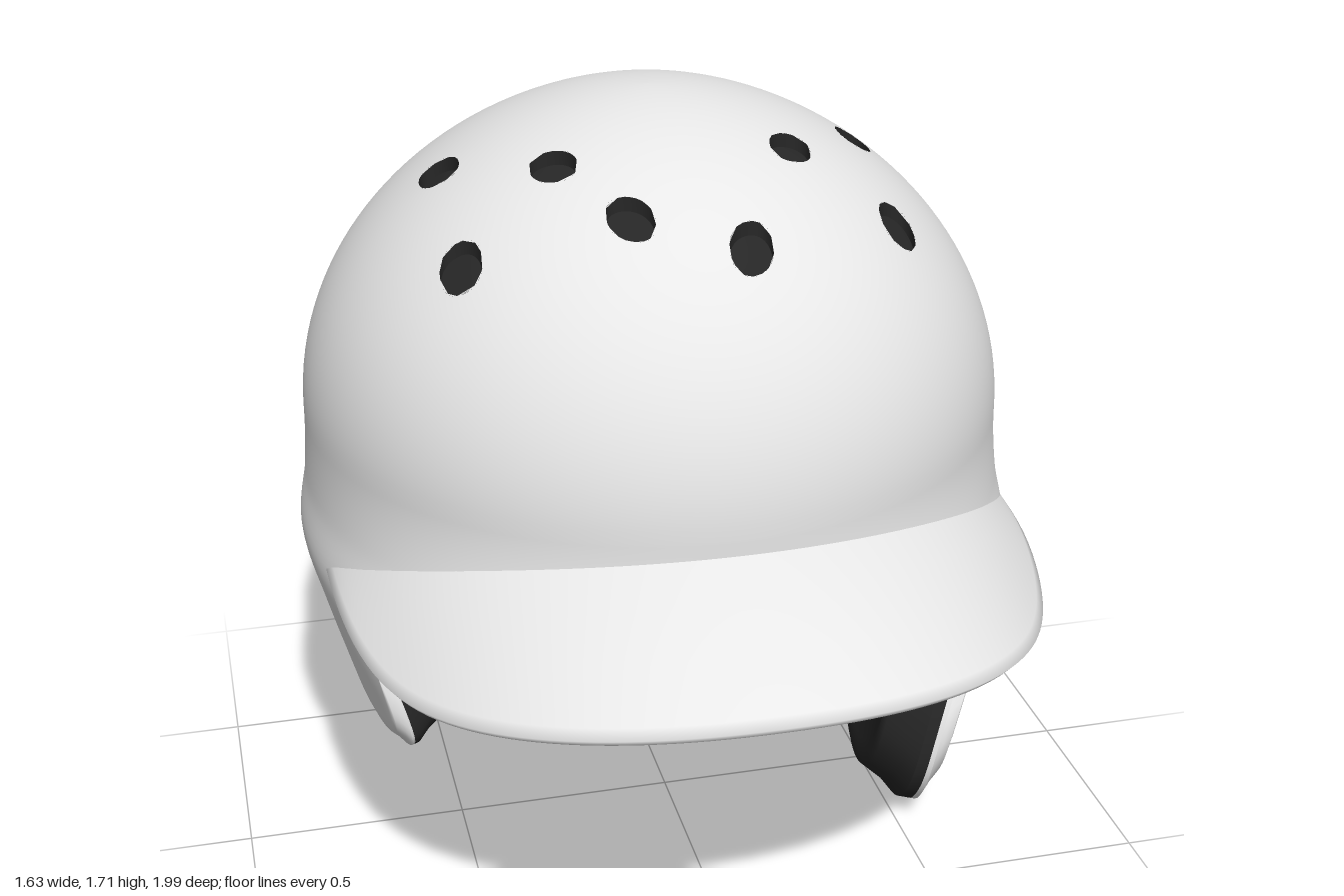
import * as THREE from 'three';

const CZ = -0.16, DOME_Y = 1, DOME_H = 0.71, DOME_POW = 1.08, FRONT = 0.81;
const RAD = Math.PI / 180;
const smooth = THREE.MathUtils.smoothstep;

// Shell sections below the dome: height, half width, depth behind the centre
const SECTIONS = [
  [0, 0.615, 0.73], [0.15, 0.662, 0.75], [0.3, 0.702, 0.775], [0.45, 0.745, 0.805], [0.6, 0.787, 0.828],
  [0.72, 0.815, 0.832], [0.84, 0.798, 0.838], [1, 0.79, 0.832],
];

// Lower rim: azimuth from the front, height, azimuth where its column joins the dome
const RIM = [
  [0, 0.76, 0], [30, 0.74, 25], [45, 0.71, 38], [54, 0.69, 45], [59, 0.64, 53], [58, 0.55, 66],
  [53, 0.4, 76], [49, 0.28, 84], [48.5, 0.17, 89], [54, 0.07, 93], [62, 0.015, 97], [70, 0, 101],
  [82, 0.03, 105], [107, 0.13, 116], [121, 0.195, 127], [150, 0.285, 152], [180, 0.31, 180],
  [205, 0.345, 208], [228, 0.4, 232], [250, 0.385, 250], [270, 0.345, 264], [285, 0.33, 272],
  [296, 0.335, 278], [303, 0.38, 285], [304, 0.48, 293], [302, 0.58, 302], [302.5, 0.65, 309],
  [307, 0.69, 316], [315, 0.71, 322], [330, 0.74, 335], [360, 0.76, 360],
];

// Openings: vents are placed in x, z and the ear hole in z, y.
// Outlines are skewed superellipses; pow sets how square they are.
const HOLES = [
  ...[[-0.47, -0.12], [0.46, -0.12], [-0.475, 0.2], [0.46, 0.2], [-0.26, 0.095], [0.25, 0.095], [-0.14, 0.29], [0.09, 0.375]]
    .map(([x, z]) => ({
      c: [x, z], r: Math.abs(x) > 0.4 ? [0.042, 0.056] : [0.048, 0.05], skew: x < 0 ? 0.3 : -0.3, pow: 2.2, depth: 0.03, inner: 0.98,
    })),
  { side: true, c: [-0.14, 0.4], r: [0.2, 0.135], skew: -0.34, pow: 2.7, depth: 0.045, inner: 0.84 },
];

// Cubic blend of the section table
function section(y) {
  const last = SECTIONS.length - 1;
  let i = 0;
  while (i < last - 1 && y > SECTIONS[i + 1][0]) i++;
  const p = SECTIONS[i], q = SECTIONS[i + 1], h = q[0] - p[0];
  const k = THREE.MathUtils.clamp((y - p[0]) / h, 0, 1);
  const slope = (n, c) => {
    const lo = SECTIONS[Math.max(n - 1, 0)], hi = SECTIONS[Math.min(n + 1, last)];
    return n === last ? 0 : (hi[c] - lo[c]) / (hi[0] - lo[0]) * h;
  };
  const value = (c) => p[c] + (q[c] - p[c]) * k * k * (3 - 2 * k)
    + slope(i, c) * k * (1 - k) ** 2 - slope(i + 1, c) * k * k * (1 - k);
  return { a: value(1), b: value(2), pow: 0.55 + 0.45 * smooth(y, 0.5, 1) };
}

// Point on the shell moved inward by o; lift is the dome elevation angle
function shellPoint(phi, y, o = 0, lift = 0) {
  const s = section(Math.min(y, DOME_Y)), sin = Math.sin(phi), cos = Math.cos(phi);
  const k = Math.pow(Math.max(Math.cos(lift), 0), DOME_POW);
  const w = Math.sign(sin) * Math.pow(Math.abs(sin), cos > 0 ? s.pow : 1);
  return new THREE.Vector3((s.a - o) * w * k,
    lift > 0 ? DOME_Y + (DOME_H - o) * Math.sin(lift) : y,
    CZ + ((cos > 0 ? FRONT : s.b) - o) * cos * k);
}

// Drop a flat hole coordinate onto the shell
function project(hole, u, w) {
  const z = hole.side ? u : w, s = section(hole.side ? w : DOME_Y);
  const c = (z - CZ) / (z > CZ ? FRONT : s.b);
  if (hole.side) return new THREE.Vector3(s.a * Math.pow(1 - c * c, (z > CZ ? s.pow : 1) / 2), w, z);
  const cos = Math.pow(Math.hypot(u / s.a, c), 1 / DOME_POW);
  return new THREE.Vector3(u, DOME_Y + DOME_H * Math.sqrt(Math.max(0, 1 - cos * cos)), z);
}

// Distance from a hole's centre, 1 on its outline
const holeDistance = (h, du, dw) =>
  (Math.abs(du / h.r[0]) ** h.pow + Math.abs((dw - h.skew * du) / h.r[1]) ** h.pow) ** (1 / h.pow);

// Push points that lie in a hole out to its edge
function openHoles(p) {
  for (const h of HOLES) {
    if (h.side ? p.x < 0.3 || p.y > DOME_Y : p.y < DOME_Y) continue;
    const du = (h.side ? p.z : p.x) - h.c[0], dw = (h.side ? p.y : p.z) - h.c[1];
    const d = holeDistance(h, du, dw);
    if (d < 1) {
      const k = 1 / Math.max(d, 1e-4);
      return { p: project(h, h.c[0] + du * k, h.c[1] + dw * k), inside: true };
    }
  }
  return { p, inside: false };
}

// Ring around a hole between two scales and two depths
function holeRing(h, scales, depths, flip) {
  const n = 40;
  return surface(n, 2, (i, j) => {
    const t = i / n * Math.PI * 2, du = Math.cos(t) * h.r[0], dw = Math.sin(t) * h.r[1] + h.skew * du;
    const k = scales[j] / holeDistance(h, du, dw);
    const p = project(h, h.c[0] + du * k, h.c[1] + dw * k);
    p[h.side ? 'x' : 'y'] -= depths[j];
    return p;
  }, { closed: true, flip });
}

// Surface from a grid of points; fn(i, j) returns a Vector3 or { p, inside }
function surface(cols, rows, fn, { closed = false, flip = false } = {}) {
  const pos = [], inside = [], index = [];
  for (let j = 0; j < rows; j++) for (let i = 0; i < cols; i++) {
    const r = fn(i, j), p = r.p || r;
    pos.push(p.x, p.y, p.z);
    inside.push(!!r.inside);
  }
  for (let j = 0; j < rows - 1; j++) for (let i = 0; i < (closed ? cols : cols - 1); i++) {
    const n = (i + 1) % cols;
    const a = j * cols + i, b = j * cols + n, c = b + cols, d = a + cols;
    if (inside[a] && inside[b] && inside[c] && inside[d]) continue;
    if (flip) index.push(a, c, b, a, d, c);
    else index.push(a, b, c, a, c, d);
  }
  const g = new THREE.BufferGeometry();
  g.setAttribute('position', new THREE.Float32BufferAttribute(pos, 3));
  g.setIndex(index);
  g.computeVertexNormals();
  return g;
}

export function createModel() {
  const model = new THREE.Group();
  model.name = 'helmet';
  const material = (name, color) => {
    const m = new THREE.MeshStandardMaterial({ color, side: THREE.DoubleSide });
    m.name = name;
    return m;
  };
  const shellMat = material('light grey shell', 0xebebeb), linerMat = material('dark liner', 0x262626);
  const midMat = material('mid grey underside', 0x939393);
  const add = (name, geo, mat) => {
    const m = new THREE.Mesh(geo, mat);
    m.name = name;
    model.add(m);
  };

  const COLS = 220, LOW = 36, HIGH = 40, ROWS = LOW + HIGH + 1;
  const curve = new THREE.CatmullRomCurve3(RIM.map(([p, y, t]) => new THREE.Vector3(p * 0.014, y, t * 0.014)));
  curve.arcLengthDivisions = 1000;
  const rim = curve.getSpacedPoints(COLS).map((v) => ({ phi: v.x / 0.014 * RAD, y: Math.max(v.y, 0), top: v.z / 0.014 * RAD }));

  // Columns rise from the rim to the dome base, then to the crown
  const at = (i, j, offset) => {
    const r = rim[i];
    if (j >= LOW) return shellPoint(r.top, DOME_Y, offset(1, DOME_Y, r.top), (j - LOW) / HIGH * Math.PI / 2);
    const v = j / LOW, y = r.y + (DOME_Y - r.y) * v, phi = r.phi + (r.top - r.phi) * v;
    return shellPoint(phi, y, offset(v, y, phi));
  };
  // The shell rounds inward at its rim
  const roll = (v, y) => 0.025 * (1 - smooth(v, 0, 0.07)) * (1 - smooth(y, 0.55, 0.75));
  add('outerShell', surface(COLS, ROWS, (i, j) => openHoles(at(i, j, roll)), { closed: true }), shellMat);

  // Rim is thickest on the long flap; the liner swells into padding just inside it
  const rimThick = (phi) => 0.045 + 0.02 * Math.max(0, Math.sin(phi));
  const pad = (v, y, phi) => {
    const low = 1 - smooth(y, 0.6, 0.95);
    return 0.03 + (rimThick(phi) - 0.03) * low + 0.1 * smooth(v, 0, 0.07) * low;
  };
  add('liner', surface(COLS, ROWS, (i, j) => at(i, j, pad), { closed: true, flip: true }), linerMat);

  // Rim: a light outer lip, then the dark edge of the liner
  const rimBand = (from, to) => surface(COLS, 2, (i, j) => at(i, 0, (v, y, phi) => {
    const o = roll(v, y);
    return o + (pad(v, y, phi) - o) * (j ? to : from);
  }), { closed: true, flip: true });
  add('rimLip', rimBand(0, 0.3), shellMat);
  add('rimLiner', rimBand(0.3, 1), linerMat);

  // Walls of the openings, with a dark backing in the ear hole
  for (const h of HOLES) {
    add(h.side ? 'earHoleBevel' : 'ventWall', holeRing(h, [1.01, h.inner], [0, h.depth], !h.side), h.side ? shellMat : linerMat);
    if (h.side) add('earHoleBacking', holeRing(h, [h.inner, 0.01], [0.05, 0.05], false), linerMat);
  }

  // Visor: a section swept across the brow, from the top crease over the edge to the underside
  const visorPoint = (i, j) => {
    const t = (i / 80) * 2 - 1, q = t * Math.PI / 2, phi = t * 72 * RAD;
    const cos = Math.max(Math.cos(q), 0), sin = Math.sin(q);
    const edge = new THREE.Vector3(0.785 * Math.sign(sin) * Math.pow(Math.abs(sin), 0.9),
      0.66 + 0.11 * cos * cos + 0.08 * sin ** 16, 0.05 + 0.945 * Math.pow(cos, 0.8));
    const top = shellPoint(phi, 0.97 - 0.2 * t * t, 0.015);
    const low = shellPoint(phi, 0.755 - 0.05 * t * t, 0.02);
    const inset = (d, y) => new THREE.Vector3(edge.x * (1 - d), edge.y + y, edge.z - d);
    if (j < 4) {
      const p = top.lerp(inset(0.015, 0.02), j / 3);
      p.y += 0.012 * Math.sin(j / 3 * Math.PI) * cos;
      return p;
    }
    if (j === 4) return edge;
    return inset(0.012, -0.016).lerp(low, (j - 5) / 3);
  };
  add('visorTop', surface(81, 6, visorPoint, { flip: true }), shellMat);
  add('visorUnderside', surface(81, 4, (i, j) => visorPoint(i, j + 5), { flip: true }), midMat);

  // Bare patch inside the short flap with a darker border, wider towards the top
  const patch = (grow, gap) => surface(17, 13, (i, j) => {
    const u = i / 16, v = j / 12, y = 0.48 - grow * 0.01 + (0.31 + 0.18 * u) * v;
    const from = 280 - 13 * v - grow, to = 289 + 13 * v + grow, phi = (from + (to - from) * u) * RAD;
    return shellPoint(phi, y, pad(1, y, phi) + gap);
  }, { flip: true });
  add('innerPatchBorder', patch(2.5, 0.005), midMat);
  add('innerPatch', patch(0, 0.01), shellMat);

  return model;
}
